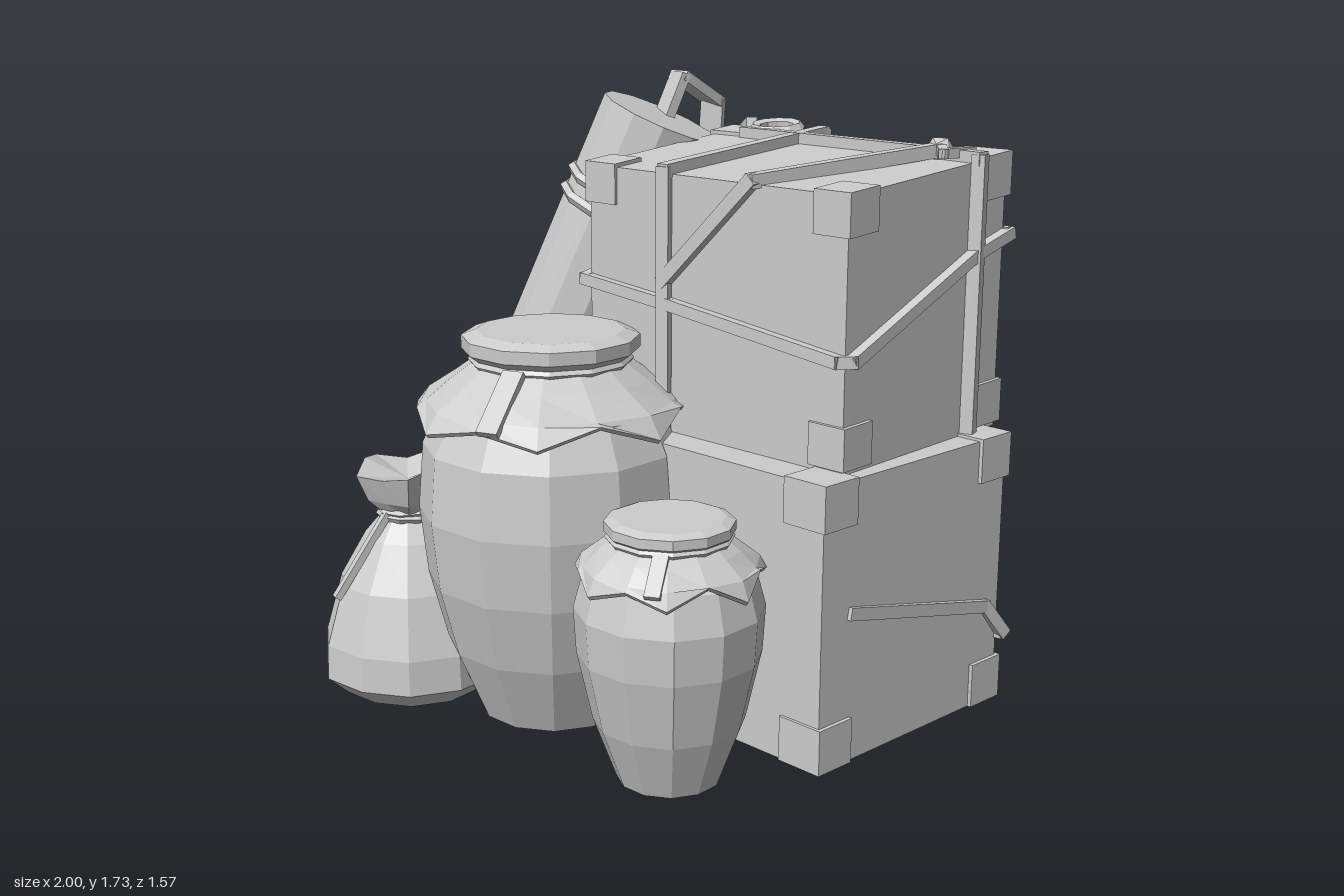
import * as THREE from 'three';

const stone = new THREE.MeshStandardMaterial({ color: 0xcccccc, flatShading: true, side: THREE.DoubleSide });
stone.name = 'plain grey';
const V = (x, y, z) => new THREE.Vector3(x, y, z);

function add(parent, name, geometry) {
  const mesh = new THREE.Mesh(geometry, stone);
  mesh.name = name;
  parent.add(mesh);
  return mesh;
}

function group(parent, name) {
  const g = new THREE.Group();
  g.name = name;
  parent.add(g);
  return g;
}

// Bar of given width and thickness between two points
function bar(parent, name, a, b, width, thick = width) {
  const m = add(parent, name, new THREE.BoxGeometry(width, thick, a.distanceTo(b) + Math.min(width, thick) * 0.6));
  m.position.copy(a).lerp(b, 0.5);
  m.quaternion.setFromRotationMatrix(new THREE.Matrix4().lookAt(a, b, V(0, 1, 0)));
}

function rope(parent, name, points, width = 0.036, thick = width) {
  for (let i = 1; i < points.length; i++) bar(parent, name, points[i - 1], points[i], width, thick);
}

// Skewed crate space: u left to right, v front to back, h bottom to top
function crateSpace(fl, fr, br, bl, y0, yFront, yBack) {
  return (u, v, h) => {
    const mix = (i) => (fl[i] * (1 - u) + fr[i] * u) * (1 - v) + (bl[i] * (1 - u) + br[i] * u) * v;
    return V(mix(0), y0 + (yFront + (yBack - yFront) * v - y0) * h, mix(1));
  };
}

// Box whose corners are bent into crate space
function block(parent, name, P, u0, u1, v0, v1, h0, h1) {
  const geo = new THREE.BoxGeometry(1, 1, 1);
  const pos = geo.attributes.position;
  for (let i = 0; i < pos.count; i++) {
    const u = pos.getX(i) > 0 ? u1 : u0;
    const h = pos.getY(i) > 0 ? h1 : h0;
    const v = pos.getZ(i) > 0 ? v0 : v1;
    const p = P(u, v, h);
    pos.setXYZ(i, p.x, p.y, p.z);
  }
  geo.computeVertexNormals();
  add(parent, name, geo);
}

// Caps on the crate corners; the front left foot can be left off
function cornerCaps(parent, P, frontLeftFoot) {
  const s = [0.125, 0.165, 0.16];
  for (const u of [0, 1]) for (const v of [0, 1]) for (const h of [0, 1]) {
    if (u + v + h === 0 && !frontLeftFoot) continue;
    block(parent, 'cornerCap', P, ...[u, v, h].flatMap((t, i) => (t ? [1 - s[i], 1] : [0, s[i]])));
  }
}

// Revolved shape from [radius, y] pairs, bottom to top; optional wave on chosen rows
function turned(parent, name, profile, sides, wave = () => [0, 0]) {
  const geo = new THREE.LatheGeometry(profile.map(([r, y]) => new THREE.Vector2(r, y)), sides);
  const pos = geo.attributes.position;
  for (let j = 0; j <= sides; j++) for (let k = 0; k < profile.length; k++) {
    const [dr, dy] = wave(j % sides, k);
    const i = j * profile.length + k;
    pos.setXYZ(i, pos.getX(i) * (1 + dr), pos.getY(i) + dy, pos.getZ(i) * (1 + dr));
  }
  geo.computeVertexNormals();
  add(parent, name, geo);
}

function ring(parent, name, radius, tube, sides = 12) {
  return add(parent, name, new THREE.TorusGeometry(radius, tube, 5, sides));
}

// Clay jar with a tied cloth skirt below its lid
function jar(parent, name, x, z, body, skirt, lid, neckY) {
  const g = group(parent, name);
  g.position.set(x, 0, z);
  turned(g, 'jarBody', body, 12);
  const n = skirt.length;
  const cloth = [...skirt.map(([r, y]) => [r - 0.008, y - 0.01]), ...[...skirt].reverse()];
  turned(g, 'clothSkirt', cloth, 14, (j, k) => {
    const depth = Math.min(k, 2 * n - 1 - k);
    if (depth < n - 2) return [0, 0];
    const sign = j % 2 ? 1 : -1;
    return depth === n - 1 ? [sign * 0.035, -sign * 0.02 + (j % 3) * 0.008] : [sign * 0.025, 0];
  });
  turned(g, 'lid', lid, 12);
  const tie = ring(g, 'neckTie', skirt[0][0] + 0.01, 0.013);
  tie.rotation.x = Math.PI / 2;
  tie.position.y = neckY;
  return g;
}

// Sack gathered at the neck with a crumpled, flared mouth
function sack(parent, name, x, z, body, mouth, neckY, neckR, tip) {
  const g = group(parent, name);
  g.position.set(x, 0, z);
  turned(g, 'sackBody', body, 11, (j, k) => [k ? ((j * 5) % 4) * 0.02 - 0.03 : 0, 0]);
  turned(g, 'sackMouth', mouth, 10, (j, k) =>
    k === 2 ? [j % 2 ? 0.08 : -0.1, (j % 3) * 0.015 - 0.02] : k === 1 ? [j % 2 ? 0.08 : -0.08, 0] : [0, 0]);
  for (const d of [-0.012, 0.014]) {
    const tie = ring(g, 'sackTie', neckR, 0.014, 10);
    tie.rotation.x = Math.PI / 2 + d * 6;
    tie.position.y = neckY + d;
  }
  bar(g, 'tieEnd', V(-0.02, neckY, neckR), tip, 0.026, 0.02);
}

export function createModel() {
  const model = new THREE.Group();
  model.name = 'cargoPile';

  // Lower crate: panels with an open underside, and open where the large jar leans in
  const L = crateSpace([-0.29, 0.13], [0.735, 0.455], [0.98, -0.245], [-0.06, -0.595], 0.08, 0.84, 0.84);
  const lower = group(model, 'lowerCrate');
  block(lower, 'backPanel', L, 0.12, 0.99, 0.96, 0.985, 0, 0.985);
  block(lower, 'rightPanel', L, 0.965, 0.99, 0.012, 0.985, 0, 0.985);
  block(lower, 'leftPanel', L, 0.12, 0.145, 0.05, 0.985, 0, 0.985);
  block(lower, 'frontPanel', L, 0.4, 0.99, 0.012, 0.035, 0, 0.985);
  block(lower, 'topPanel', L, 0.04, 0.99, 0.012, 0.985, 0.96, 0.99);
  cornerCaps(lower, L, false);

  // Upper crate
  const U = crateSpace([-0.145, 0.075], [0.735, 0.345], [0.92, -0.33], [-0.025, -0.605], 0.845, 1.535, 1.58);
  const upper = group(model, 'upperCrate');
  block(upper, 'crateBody', U, 0.013, 0.987, 0.014, 0.985, -0.02, 0.985);
  cornerCaps(upper, U, true);

  // Ropes around the upper crate
  const ropes = group(model, 'crateRopes');
  rope(ropes, 'lengthRope', [U(0.33, 0, 0), U(0.33, 0, 1), U(0.35, 1, 1), U(0.36, 1, 0)]);
  rope(ropes, 'crossRope', [U(0.14, 0.84, 1), U(0.84, 0.8, 1), U(1, 0.78, 1), U(1, 0.78, 0)]);
  rope(ropes, 'beltRope', [U(0, 0.8, 0.6), U(0, 0, 0.53), U(0.35, 0, 0.49), U(0.97, 0, 0.4),
    U(1, 0.04, 0.4), U(1, 0.78, 0.66), U(1, 1, 0.7), U(0.36, 1, 0.5), U(0, 1, 0.58), U(0, 0.8, 0.6)], 0.032);
  rope(ropes, 'diagonalRope', [U(0.33, 0, 0.58), U(0.66, 0, 1), U(0.86, 0.78, 1.015)]);
  const loop = ring(ropes, 'ropeLoop', 0.065, 0.019, 10);
  loop.rotation.x = Math.PI / 2 + 0.1;
  loop.position.set(0.16, 1.585, -0.51);
  const knot = add(ropes, 'ropeKnot', new THREE.IcosahedronGeometry(0.04, 0));
  knot.position.copy(U(0.86, 0.8, 1.01));
  rope(ropes, 'knotEnd', [U(0.86, 0.8, 1.02), U(0.92, 0.7, 1.02), U(0.94, 0.84, 1.01)], 0.026);
  rope(ropes, 'hangingEnd', [U(0.1, 0.95, 1.02), U(0.04, 1.02, 0.98), U(0, 1.04, 0.35), U(-0.02, 1.03, 0.02)], 0.032);

  // Rope around the lower crate
  rope(ropes, 'lowerRope', [L(0.985, 0.16, 0.53), L(0.99, 0.9, 0.37), L(1, 1, 0.25),
    L(0.5, 1, 0.22), L(0.02, 1, 0.22)], 0.034);

  // Leaning roll with paired bindings
  const top = V(-0.18, 1.61, -0.44), bottom = V(-0.77, 0.17, -0.25);
  const roll = group(model, 'leaningRoll');
  const length = top.distanceTo(bottom);
  roll.position.copy(top).lerp(bottom, 0.5);
  roll.quaternion.setFromUnitVectors(V(0, 1, 0), top.clone().sub(bottom).normalize());
  add(roll, 'rollBody', new THREE.CylinderGeometry(0.183, 0.183, length, 12));
  for (const y of [0.31, 0.35, -0.31, -0.35]) {
    const b = ring(roll, 'rollBinding', 0.185, 0.017);
    b.rotation.x = Math.PI / 2 + 0.06 * Math.sign(y);
    b.position.y = y * length;
  }

  // Carrying strap over the roll and down behind it
  const strap = group(model, 'rollStrap');
  rope(strap, 'strapTop', [V(-0.22, 1.6, -0.53), V(-0.19, 1.72, -0.575), V(-0.14, 1.64, -0.705)], 0.075, 0.03);
  rope(strap, 'strapSide', [V(-0.14, 1.64, -0.705), V(-0.17, 1.12, -0.7), V(-0.22, 0.67, -0.66)], 0.035, 0.07);
  bar(strap, 'strapTail', V(-0.52, 0.5, -0.52), V(-0.52, 0.07, -0.58), 0.08, 0.025);
  rope(strap, 'tailLink', [V(-0.6, 0.56, -0.48), V(-0.52, 0.5, -0.55), V(-0.4, 0.42, -0.62)], 0.035);

  // Short post with capped ends
  const post = group(model, 'cappedPost');
  post.position.set(-0.36, 0, -0.7);
  post.rotation.y = -0.3;
  add(post, 'postShaft', new THREE.BoxGeometry(0.125, 0.74, 0.125)).position.y = 0.455;
  for (const y of [0.13, 0.785]) add(post, 'postCap', new THREE.BoxGeometry(0.14, 0.11, 0.14)).position.y = y;

  // Jars
  const big = jar(model, 'largeJar', -0.135, 0.285,
    [[0, 0.04], [0.21, 0.04], [0.295, 0.24], [0.345, 0.43], [0.365, 0.62], [0.35, 0.8], [0.29, 0.93], [0.2, 1.0], [0.2, 1.06]],
    [[0.2, 1.035], [0.27, 0.985], [0.345, 0.93], [0.375, 0.89]],
    [[0.2, 1.03], [0.24, 1.06], [0.24, 1.095], [0.2, 1.11], [0, 1.11]], 1.03);
  bar(big, 'tieEnd', V(0.02, 1.03, 0.22), V(0.03, 0.91, 0.36), 0.06, 0.02);
  const small = jar(model, 'smallJar', 0.36, 0.545,
    [[0, 0.04], [0.135, 0.04], [0.195, 0.2], [0.235, 0.38], [0.242, 0.5], [0.215, 0.6], [0.14, 0.67], [0.14, 0.7]],
    [[0.14, 0.69], [0.18, 0.66], [0.225, 0.62], [0.24, 0.59]],
    [[0.14, 0.68], [0.165, 0.7], [0.165, 0.725], [0.14, 0.735], [0, 0.735]], 0.685);
  bar(small, 'tieEnd', V(0.05, 0.685, 0.14), V(0.07, 0.61, 0.225), 0.04, 0.015);

  // Sacks
  sack(model, 'largeSack', -0.605, 0.305,
    [[0, 0.005], [0.2, 0.015], [0.26, 0.07], [0.255, 0.17], [0.205, 0.34], [0.13, 0.47], [0.07, 0.54]],
    [[0.07, 0.53], [0.11, 0.58], [0.14, 0.675], [0, 0.63]], 0.54, 0.08, V(-0.11, 0.32, 0.2));
  sack(model, 'smallSack', -0.83, 0.01,
    [[0, 0.03], [0.135, 0.04], [0.172, 0.09], [0.17, 0.18], [0.13, 0.28], [0.06, 0.36]],
    [[0.055, 0.35], [0.08, 0.41], [0.1, 0.5], [0, 0.46]], 0.37, 0.065, V(-0.06, 0.22, 0.16));

  return model;
}
